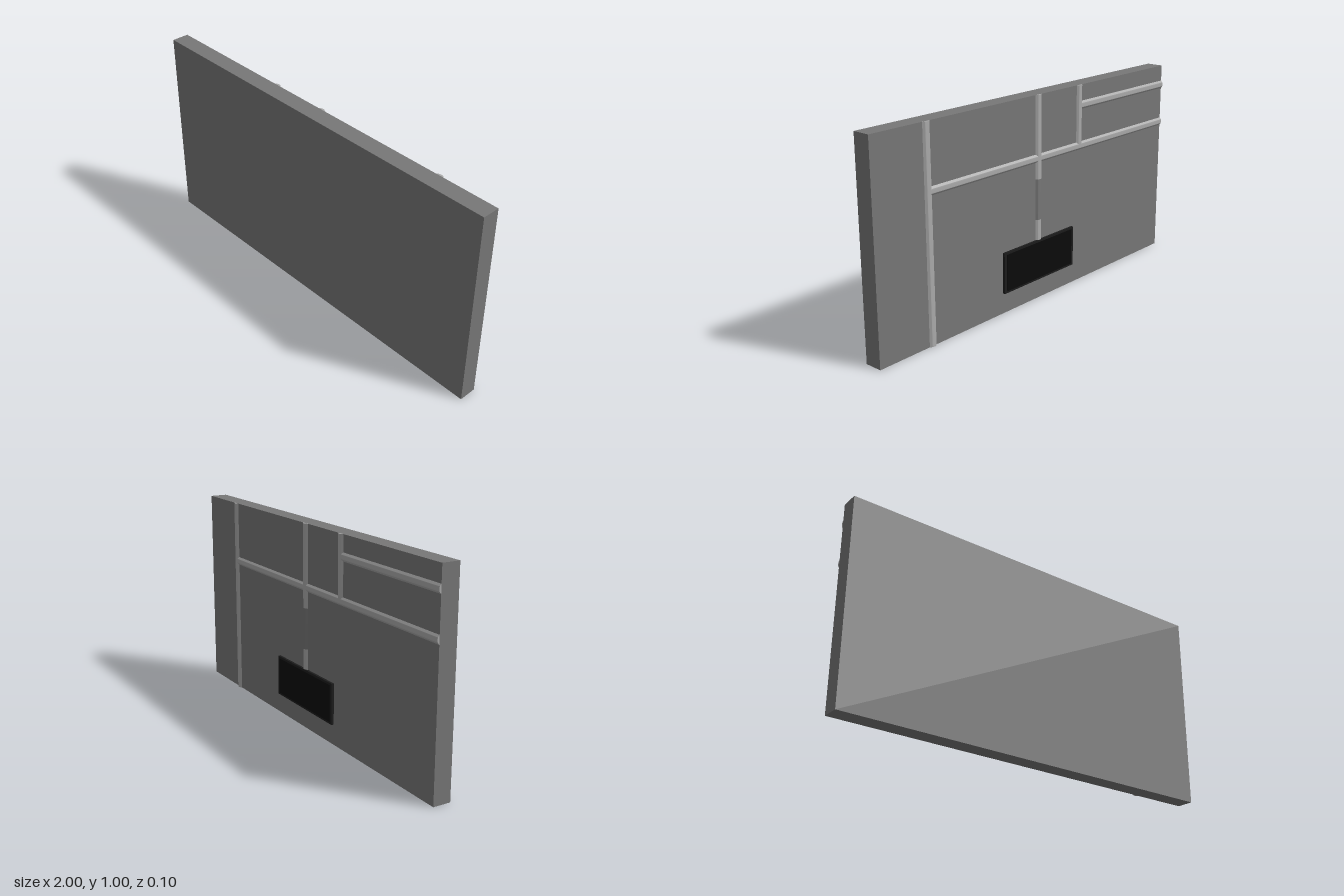
import * as THREE from 'three';
import { toCreasedNormals } from 'three/addons/utils/BufferGeometryUtils.js';

const BACK = -0.036;        // rear face of the slab
const PIPE_RADIUS = 0.025;
const PIPE_SINK = 0.015;    // how deep the pipe axis lies below the rear face

const material = (color) => new THREE.MeshStandardMaterial({ color });

// Exposed part of a pipe sunk into the slab, running up +y from the origin
function pipeGeometry(length) {
  const start = Math.asin(PIPE_SINK / PIPE_RADIUS);
  const section = new THREE.Shape();
  section.absarc(0, -PIPE_SINK, PIPE_RADIUS, start, Math.PI - start, false);
  section.closePath();
  const geometry = new THREE.ExtrudeGeometry(section, {
    depth: length, bevelEnabled: false, curveSegments: 16,
  });
  geometry.rotateX(-Math.PI / 2);
  return toCreasedNormals(geometry, 0.6);
}

export function createModel() {
  const model = new THREE.Group();
  model.name = 'wallPanel';

  const slabMaterial = material(0x777777);
  const pipeMaterial = material(0xaaaaaa);
  const frameMaterial = material(0x1c1c1c);
  const screenMaterial = material(0x0a0a0a);

  function add(name, geometry, mat, x, y, z) {
    const mesh = new THREE.Mesh(geometry, mat);
    mesh.name = name;
    mesh.position.set(x, y, z);
    model.add(mesh);
    return mesh;
  }

  // Slab
  add('slab', new THREE.BoxGeometry(2, 1, 0.05 - BACK), slabMaterial, 0, 0.5, (0.05 + BACK) / 2);

  // Upright pipes: name, x, bottom, top, material
  const uprights = [
    ['leftPipe', 0.7, 0, 1, pipeMaterial],
    ['centrePipeUpper', 0, 0.6, 1, pipeMaterial],
    ['centrePipeSleeve', 0, 0.4, 0.6, slabMaterial],
    ['centrePipeLower', 0, 0.3, 0.4, pipeMaterial],
    ['branchPipe', -0.3, 0.7, 1, pipeMaterial],
  ];
  for (const [name, x, bottom, top, mat] of uprights) {
    add(name, pipeGeometry(top - bottom), mat, x, bottom, BACK);
  }

  // Level pipes, running from the right edge: name, y, end x
  const levels = [
    ['mainCrossPipe', 0.7, 0.7],
    ['upperCrossPipe', 0.9, -0.3],
  ];
  for (const [name, y, endX] of levels) {
    const geometry = pipeGeometry(endX + 1).rotateZ(-Math.PI / 2);
    add(name, geometry, pipeMaterial, -1, y, BACK);
  }

  // Dark display with a thin border
  add('displayFrame', new THREE.BoxGeometry(0.5, 0.2, 0.012), frameMaterial, 0, 0.2, BACK - 0.006);
  add('displayScreen', new THREE.BoxGeometry(0.47, 0.18, 0.004), screenMaterial, 0, 0.2, -0.048);

  return model;
}
